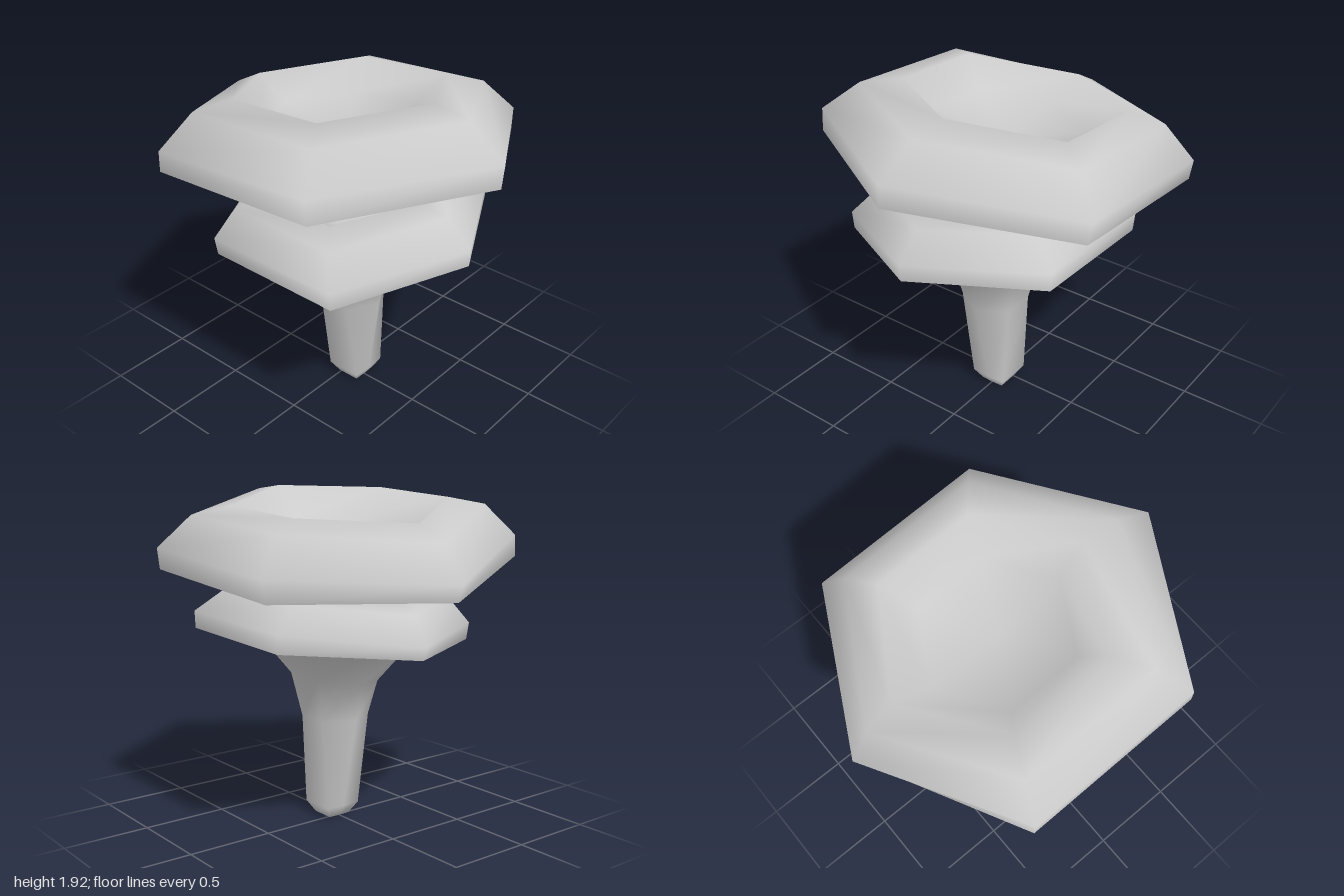
import * as THREE from 'three';
import { mergeVertices } from 'three/addons/utils/BufferGeometryUtils.js';

const SIDES = 6;

// Six-cornered cross-section. xs = [left, corner -x, corner +x, right];
// heights run right, front +x, front -x, left, back -x, back +x.
function ring([xL, cL, cR, xR], zFront, zBack, heights) {
  const mid = (zFront + zBack) / 2;
  const xs = [xR, cR, cL, xL, cL, cR];
  const zs = [mid, zFront, zFront, mid, zBack, zBack];
  return heights.map((y, i) => new THREE.Vector3(xs[i], y, zs[i]));
}

// Level, nearly square section for the foot
function square(cx, r, y) {
  return ring([cx - r, cx - r * 0.95, cx + r * 0.95, cx + r], r, -r, Array(SIDES).fill(y));
}

// Regular hexagon, optionally leaning along x and z
function hex(cx, cz, r, y, leanX = 0, leanZ = 0) {
  return Array.from({ length: SIDES }, (_, i) => {
    const a = (i / SIDES) * Math.PI * 2;
    const x = Math.cos(a) * r, z = Math.sin(a) * r;
    return new THREE.Vector3(cx + x, y + x * leanX + z * leanZ, cz + z);
  });
}

// Smooth skin over a list of rings
function loft(name, rings, material) {
  const pos = [];
  const tri = (a, b, c) => {
    if (a.equals(b) || b.equals(c) || a.equals(c)) return;
    for (const p of [a, b, c]) pos.push(p.x, p.y, p.z);
  };
  for (let i = 0; i < rings.length - 1; i++) {
    for (let j = 0; j < SIDES; j++) {
      const k = (j + 1) % SIDES;
      tri(rings[i][j], rings[i + 1][j], rings[i][k]);
      tri(rings[i][k], rings[i + 1][j], rings[i + 1][k]);
    }
  }
  const soup = new THREE.BufferGeometry();
  soup.setAttribute('position', new THREE.Float32BufferAttribute(pos, 3));
  const geo = mergeVertices(soup);
  geo.computeVertexNormals();
  const mesh = new THREE.Mesh(geo, material);
  mesh.name = name;
  return mesh;
}

export function createModel() {
  const group = new THREE.Group();
  group.name = 'mushroom';
  const material = new THREE.MeshStandardMaterial({ color: 0xcccccc });

  // Sharp lower edges shared by the skins above and below them
  const lowerLip = ring([-0.69, -0.33, 0.49, 0.85], 0.71, -0.65, [1.115, 1.03, 1.03, 1.04, 1.1, 1.13]);
  const upperLip = ring([-0.96, -0.54, 0.5, 0.99], 0.88, -0.86, [1.61, 1.6, 1.53, 1.38, 1.4, 1.48]);

  // Stem with a square foot, flaring under the lower cap
  group.add(loft('stem', [
    hex(0.055, 0, 0, 0),
    square(0.055, 0.072, 0.002),
    square(0.055, 0.112, 0.07),
    hex(0.055, 0.025, 0.195, 0.6),
    hex(0.055, 0.02, 0.255, 0.83, 0.04, -0.12),
    hex(0.065, 0.035, 0.52, 1.13, 0.05, -0.07),
    lowerLip,
  ], material));

  // Lower cap, its hollow top, and the neck flaring under the upper cap
  group.add(loft('lowerCapAndNeck', [
    lowerLip,
    ring([-0.71, -0.34, 0.49, 0.855], 0.72, -0.655, [1.21, 1.13, 1.13, 1.11, 1.2, 1.23]),
    ring([-0.61, -0.29, 0.38, 0.7], 0.6, -0.52, [1.35, 1.28, 1.28, 1.27, 1.34, 1.355]),
    ring([-0.46, -0.22, 0.27, 0.52], 0.47, -0.4, [1.375, 1.325, 1.325, 1.325, 1.38, 1.39]),
    hex(0.02, 0.03, 0.36, 1.24, 0.05, -0.07),
    hex(0, 0.025, 0.23, 1.2),
    hex(0, 0.025, 0.25, 1.38, 0.05, 0.04),
    hex(-0.01, 0.015, 0.54, 1.64, 0.08, 0.06),
    upperLip,
  ], material));

  // Upper cap with its shallow bowl
  group.add(loft('upperCap', [
    upperLip,
    ring([-1, -0.535, 0.49, 0.995], 0.88, -0.88, [1.74, 1.73, 1.65, 1.47, 1.52, 1.6]),
    ring([-0.87, -0.46, 0.37, 0.77], 0.7, -0.73, [1.9, 1.885, 1.83, 1.67, 1.72, 1.78]),
    ring([-0.7, -0.36, 0.23, 0.54], 0.51, -0.56, [1.925, 1.91, 1.87, 1.76, 1.79, 1.83]),
    hex(-0.05, 0, 0.43, 1.7, 0.11, 0.07),
    hex(-0.02, 0, 0, 1.6),
  ], material));

  return group;
}
